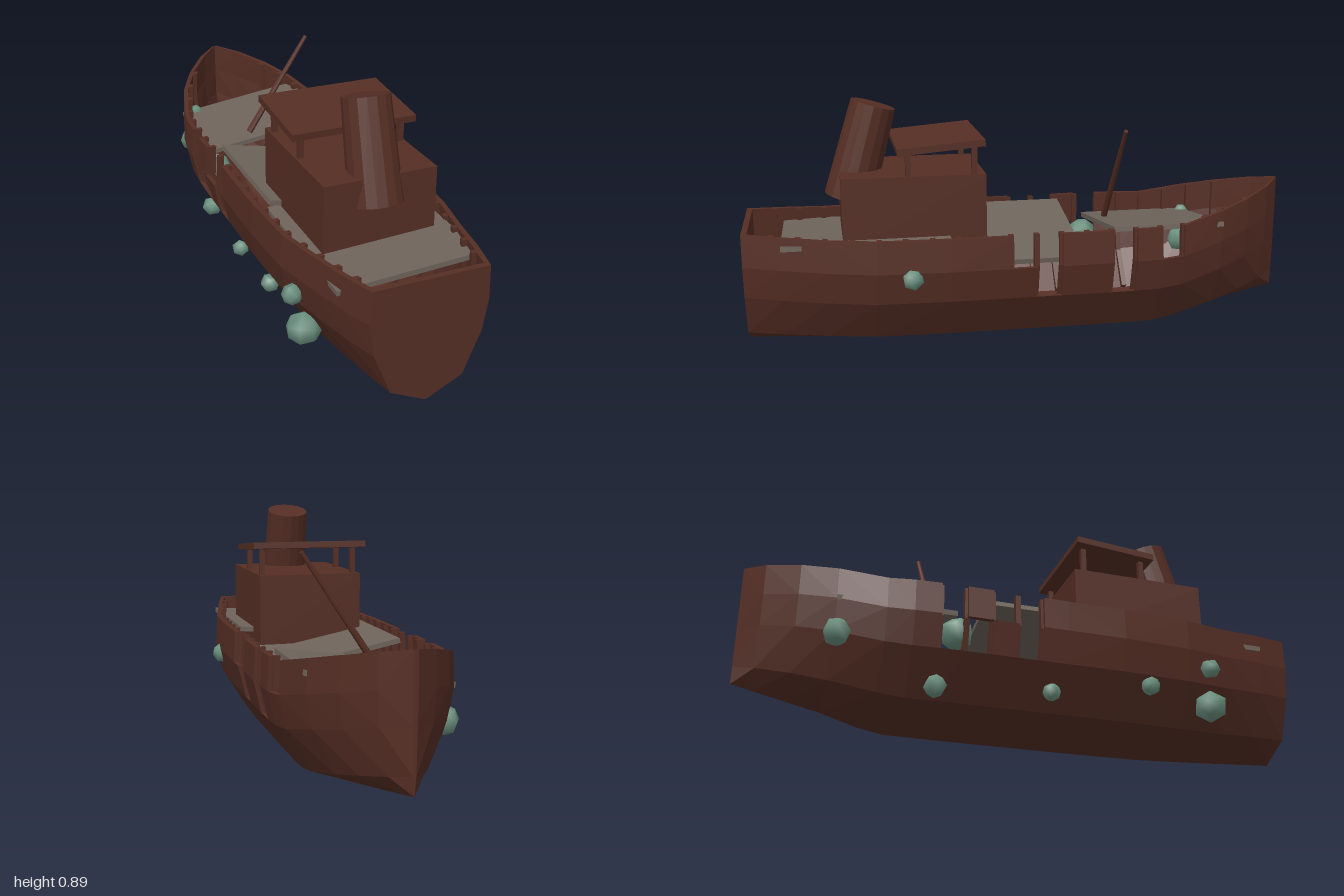
import * as THREE from 'three';
import { mergeGeometries } from 'three/addons/utils/BufferGeometryUtils.js';
import { ConvexGeometry } from 'three/addons/geometries/ConvexGeometry.js';

const CX = -0.006; // the wreck sits slightly off centre

const mat = (name, color, flatShading = true) => {
  const m = new THREE.MeshStandardMaterial({ color, flatShading });
  m.name = name;
  return m;
};

// Linear lookup in a list of [z, value], z descending
function along(table, z) {
  for (let i = 1; i < table.length; i++) {
    const [z0, v0] = table[i - 1], [z1, v1] = table[i];
    if (z >= z1) return v0 + (v1 - v0) * (z0 - z) / (z0 - z1);
  }
  return table[table.length - 1][1];
}

// Hull lines: half beam, keel height and rail height along z
const BEAM = [[1, 0.2], [0.87, 0.235], [0.55, 0.3], [0.3, 0.313], [-0.3, 0.313], [-0.45, 0.305],
  [-0.55, 0.287], [-0.7, 0.24], [-0.82, 0.175], [-0.93, 0.09], [-1, 0.008]];
const KEEL = [[1, 0.035], [0.6, 0.01], [-0.45, 0.004], [-0.55, 0.02], [-1, 0.12]];
const RAIL = [[1, 0.468], [0.65, 0.445], [-0.55, 0.45], [-1, 0.55]];
// Cross-section as fractions of half beam and height
const SECTION = [[0, 0], [0.62, 0.14], [0.92, 0.48], [1.005, 0.74], [0.985, 1]];

// Point on the hull, moved inward by depth
function hullPoint(z, row, side, depth = 0) {
  const [fx, fy] = SECTION[row];
  const k = along(KEEL, z);
  const x = Math.max(fx * along(BEAM, z) - depth, 0);
  const lift = row < 2 ? depth * 0.8 : 0;
  return new THREE.Vector3(CX + side * x, k + fy * (along(RAIL, z) - k) + lift, z);
}

// Solid plate of hull between two stations, two rows and two depths
function plate(z0, z1, row, side, d0, d1) {
  const pts = [];
  for (const z of [z0, z1]) for (const r of [row, row + 1]) for (const d of [d0, d1]) {
    pts.push(hullPoint(z, r, side, d));
  }
  return new ConvexGeometry(pts);
}

export function createModel() {
  const ship = new THREE.Group();
  ship.name = 'shipwreck';
  const rust = mat('rusted brown', 0x552e24);
  const planks = mat('grey deck', 0x6e645b);
  const growth = mat('sea green', 0x6a8f7e, false);

  const add = (name, geometry, material, parent = ship) => {
    const m = new THREE.Mesh(geometry, material);
    m.name = name;
    parent.add(m);
    return m;
  };
  const box = (name, size, pos, material, parent) => {
    const m = add(name, new THREE.BoxGeometry(...size), material, parent);
    m.position.set(...pos);
    return m;
  };

  // Hull plating, with plates missing amidships (keys are station,row)
  const stations = [1, 0.87, 0.72, 0.55, 0.3, 0.09, 0, -0.09, -0.18, -0.27, -0.36, -0.45, -0.54,
    -0.7, -0.82, -0.93, -1];
  const missing = {
    1: ['5,3', '6,3', '6,2', '9,3', '9,2', '11,3'],
    '-1': ['6,3', '6,2', '8,2', '9,3', '9,2', '7,3'],
  };
  for (const side of [1, -1]) {
    const plates = [];
    for (let i = 0; i < stations.length - 1; i++) {
      for (let row = 0; row < 4; row++) {
        if (missing[side].includes(`${i},${row}`)) continue;
        plates.push(plate(stations[i], stations[i + 1], row, side, 0, 0.018));
      }
    }
    add(side > 0 ? 'leftHull' : 'rightHull', mergeGeometries(plates), rust);

    // Ribs inside the plating
    const ribs = [];
    for (let i = 0; i < 20; i++) {
      const z = 0.9 - i * 0.09;
      for (let row = 1; row < 4; row++) ribs.push(plate(z + 0.009, z - 0.009, row, side, 0.014, 0.036));
    }
    add(side > 0 ? 'leftRibs' : 'rightRibs', mergeGeometries(ribs), rust);
  }

  // Flat stern
  const outline = [];
  for (let r = 0; r < 5; r++) outline.push(hullPoint(1, r, 1));
  for (let r = 4; r > 0; r--) outline.push(hullPoint(1, r, -1));
  const transom = new THREE.ExtrudeGeometry(
    new THREE.Shape(outline.map((p) => new THREE.Vector2(p.x, p.y))), { depth: 0.02, bevelEnabled: false });
  add('transom', transom, rust).position.z = 0.98;

  // Decks, the loose ones tilted
  const decks = [
    ['sternDeck', 0.58, 0.412, 0.58, 0.05],
    ['midDeck', 0.06, 0.385, 0.5, -0.2],
    ['foreDeck', -0.495, 0.405, 0.41, 0.13],
  ];
  for (const [name, z, y, length, roll] of decks) {
    box(name, [0.495, 0.018, length], [CX, y, z], planks).rotation.z = roll;
  }

  // Deckhouse with open bridge roof on posts
  const house = new THREE.Group();
  house.name = 'deckhouse';
  ship.add(house);
  box('cabin', [0.395, 0.265, 0.5], [CX - 0.002, 0.5125, 0.41], rust, house);
  for (const x of [-0.18, 0.18]) for (const z of [0.2, 0.43]) {
    box('roofPost', [0.019, 0.1, 0.019], [CX + x, 0.69, z], rust, house);
  }
  box('bridgeRoof', [0.44, 0.024, 0.305], [CX - 0.003, 0.746, 0.317], rust, house).rotation.x = 0.085;

  // Leaning funnel
  const funnel = add('funnel', new THREE.CylinderGeometry(0.08, 0.09, 0.348, 16), rust);
  funnel.position.set(CX - 0.002, 0.706, 0.58);
  funnel.rotation.x = -0.275;

  // Fallen mast
  const foot = new THREE.Vector3(-0.085, 0.41, -0.34), tip = new THREE.Vector3(0.16, 0.775, -0.348);
  const mast = add('mast', new THREE.CylinderGeometry(0.008, 0.013, foot.distanceTo(tip), 8), rust);
  mast.position.copy(foot).lerp(tip, 0.5);
  mast.quaternion.setFromUnitVectors(new THREE.Vector3(0, 1, 0), tip.clone().sub(foot).normalize());

  // Lumps of sea growth: x, y, z, radius
  const lumps = [
    [-0.22, 0.26, -0.69, 0.05], [-0.2, 0.38, -0.69, 0.03], [-0.24, 0.3, -0.29, 0.058],
    [-0.245, 0.1, -0.36, 0.04], [-0.262, 0.14, 0.64, 0.06], [-0.298, 0.27, 0.63, 0.036],
    [-0.285, 0.18, 0.4, 0.034], [-0.265, 0.12, 0.04, 0.032], [-0.26, 0.25, 0.03, 0.035],
    [-0.265, 0.35, -0.4, 0.03], [0.21, 0.34, -0.25, 0.056], [0.215, 0.365, 0.14, 0.032],
    [0.235, 0.36, 0.28, 0.032], [0.29, 0.31, 0.43, 0.04],
  ];
  lumps.forEach(([x, y, z, r], i) => {
    const lump = add('seaGrowth', new THREE.SphereGeometry(r, 6, 4), growth);
    lump.position.set(x, y, z);
    lump.rotation.set(i * 1.3, i * 0.7, i * 2.1);
  });

  return ship;
}
